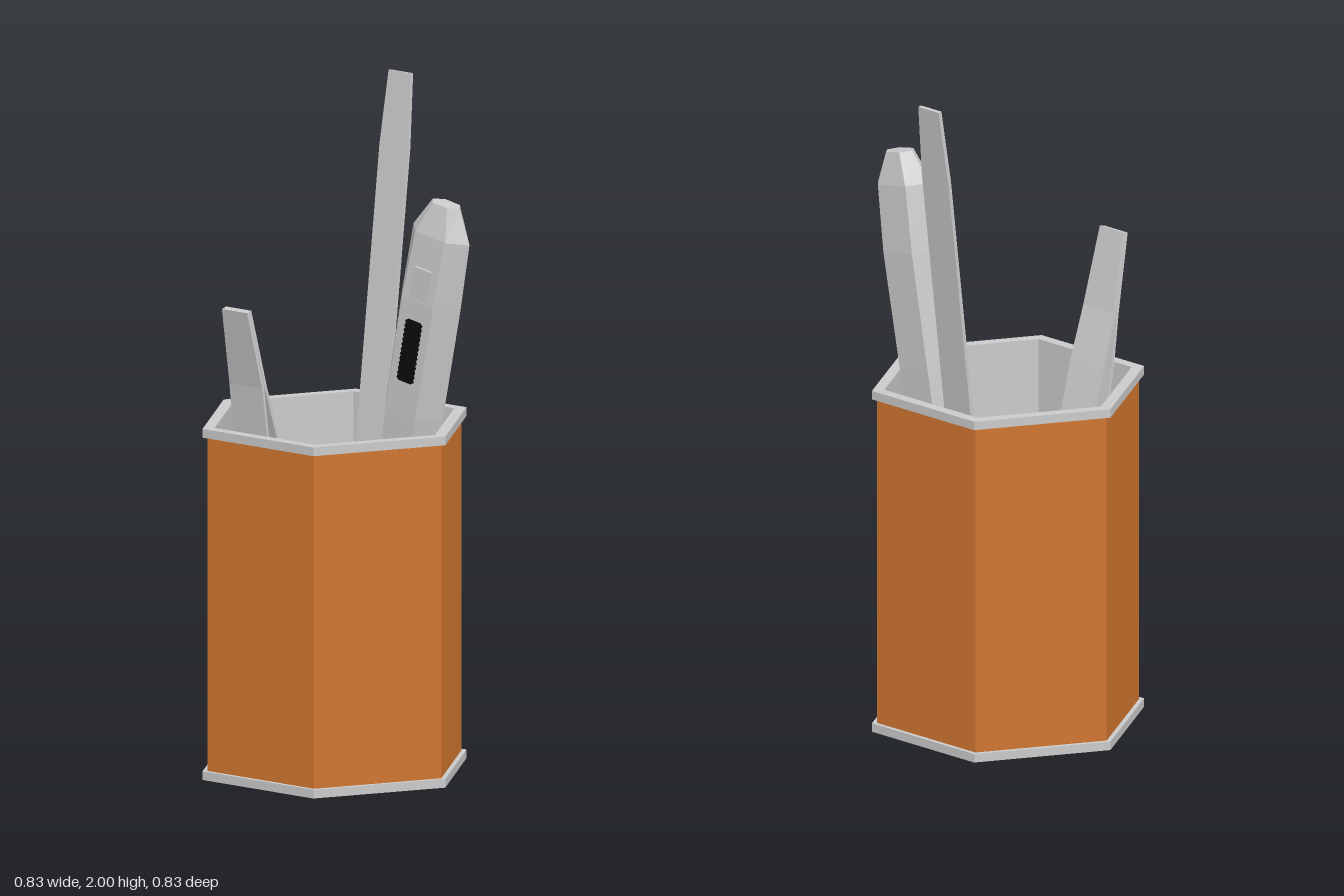
import * as THREE from 'three';

const mat = (name, color, extra = {}) => {
  const m = new THREE.MeshStandardMaterial({ color, ...extra });
  m.name = name;
  return m;
};

// Hexagon outline with corners on the x axis
function hexPoints(r) {
  return Array.from({ length: 6 }, (_, i) =>
    new THREE.Vector2(r * Math.cos(i * Math.PI / 3), r * Math.sin(i * Math.PI / 3)));
}

// Upright hexagonal plate, or a ring when an inner radius is given
function hexPrism(outer, inner, y0, y1) {
  const shape = new THREE.Shape(hexPoints(outer));
  if (inner) shape.holes.push(new THREE.Path(hexPoints(inner)));
  const g = new THREE.ExtrudeGeometry(shape, { depth: y1 - y0, bevelEnabled: false });
  return g.rotateX(-Math.PI / 2).translate(0, y0, 0);
}

// Faceted skin over rings stacked up y; each ring runs counterclockwise from above
function loft(rings) {
  const pos = [];
  const tri = (...pts) => pts.forEach((p) => pos.push(...p));
  const n = rings[0].length;
  for (let i = 0; i < rings.length - 1; i++) {
    for (let j = 0; j < n; j++) {
      const k = (j + 1) % n;
      const [a, b, c, d] = [rings[i][j], rings[i][k], rings[i + 1][k], rings[i + 1][j]];
      tri(a, b, c);
      tri(a, c, d);
    }
  }
  const low = rings[0], top = rings[rings.length - 1];
  for (let j = 1; j < n - 1; j++) {
    tri(low[0], low[j + 1], low[j]);
    tri(top[0], top[j], top[j + 1]);
  }
  const g = new THREE.BufferGeometry();
  g.setAttribute('position', new THREE.Float32BufferAttribute(pos, 3));
  g.computeVertexNormals();
  return g;
}

export function createModel() {
  const orange = mat('orange', 0xd07630);
  const metal = mat('light grey', 0xcacaca);
  const black = mat('black', 0x0c0c0c);
  const model = new THREE.Group();
  const add = (parent, name, geometry, material) => {
    const m = new THREE.Mesh(geometry, material);
    m.name = name;
    parent.add(m);
    return m;
  };
  const group = (name, x, y, z) => {
    const g = new THREE.Group();
    g.name = name;
    g.position.set(x, y, z);
    model.add(g);
    return g;
  };

  // Hexagonal cup with grey base, lining and rim
  const cup = group('cup', 0, 0, 0.02);
  add(cup, 'base', hexPrism(0.413, 0, 0, 0.026), metal);
  add(cup, 'wall', hexPrism(0.398, 0.382, 0.026, 1.02), orange);
  add(cup, 'lining', hexPrism(0.382, 0.375, 0.026, 1.02), metal);
  add(cup, 'rim', hexPrism(0.413, 0.375, 1.02, 1.046), metal);

  // Flat file with tapered ends, leaning back
  const file = group('file', -0.092, 0.035, -0.155);
  file.rotation.x = -0.127;
  const L = 1.976, w = 0.053, e = 0.041;
  const outline = [[-e, 0], [e, 0], [w, 0.28], [w, L - 0.22], [e, L], [-e, L], [-w, L - 0.22], [-w, 0.28]];
  const fileShape = new THREE.Shape(outline.map(([x, y]) => new THREE.Vector2(x, y)));
  add(file, 'fileBlade',
    new THREE.ExtrudeGeometry(fileShape, { depth: 0.012, bevelEnabled: false }).translate(0, 0, -0.006), metal);

  // Tweezers: two mirrored bowed arms, leaning forward
  const tweezers = group('tweezers', -0.0575, 0.045, 0.085);
  tweezers.rotation.x = 0.228;
  const armRows = [ // height, half width, distance from the middle
    [0, 0.017, 0.005], [0.3, 0.04, 0.018], [0.6, 0.055, 0.028], [0.85, 0.062, 0.029],
    [1.02, 0.063, 0.021], [1.18, 0.061, 0.006], [1.417, 0.047, 0.005],
  ];
  for (const side of [1, -1]) {
    const rings = armRows.map(([y, h, off]) => {
      const z0 = side * off - 0.005, z1 = side * off + 0.005;
      return [[h, y, z1], [h, y, z0], [-h, y, z0], [-h, y, z1]];
    });
    add(tweezers, side > 0 ? 'frontArm' : 'backArm', loft(rings), metal);
  }

  // Hexagonal cutter handle, leaning to its left
  const cutter = group('cutter', 0, 0.04, -0.107);
  cutter.rotation.z = -0.187;
  const handleRows = [ // height, half width, half depth
    [0, 0.014, 0.015], [0.12, 0.018, 0.014], [0.55, 0.05, 0.033], [0.88, 0.095, 0.06],
    [1.05, 0.107, 0.066], [1.4, 0.11, 0.066], [1.6, 0.106, 0.053], [1.695, 0.051, 0.03],
  ];
  add(cutter, 'handle', loft(handleRows.map(([y, hx, hz]) => {
    const f = hx * 0.53;
    return [[hx, y, 0], [f, y, -hz], [-f, y, -hz], [-hx, y, 0], [-f, y, hz], [f, y, hz]];
  })), metal);

  // Black grip with toothed edges
  const right = [], left = [], teeth = 13;
  for (let i = 0; i <= teeth * 2; i++) {
    const y = -0.095 + 0.19 * i / (teeth * 2);
    const x = (i === 0 || i === teeth * 2) ? 0.022 : (i % 2 ? 0.032 : 0.028);
    right.push(new THREE.Vector2(x, y));
    left.unshift(new THREE.Vector2(-x, y));
  }
  const grip = new THREE.ExtrudeGeometry(new THREE.Shape([...right, ...left]), { depth: 0.006, bevelEnabled: false });
  add(cutter, 'grip', grip.translate(0, 1.247, 0.063), black);

  // Small button above the grip
  add(cutter, 'button', new THREE.BoxGeometry(0.062, 0.095, 0.02).translate(0, 1.455, 0.058), metal);

  return model;
}
